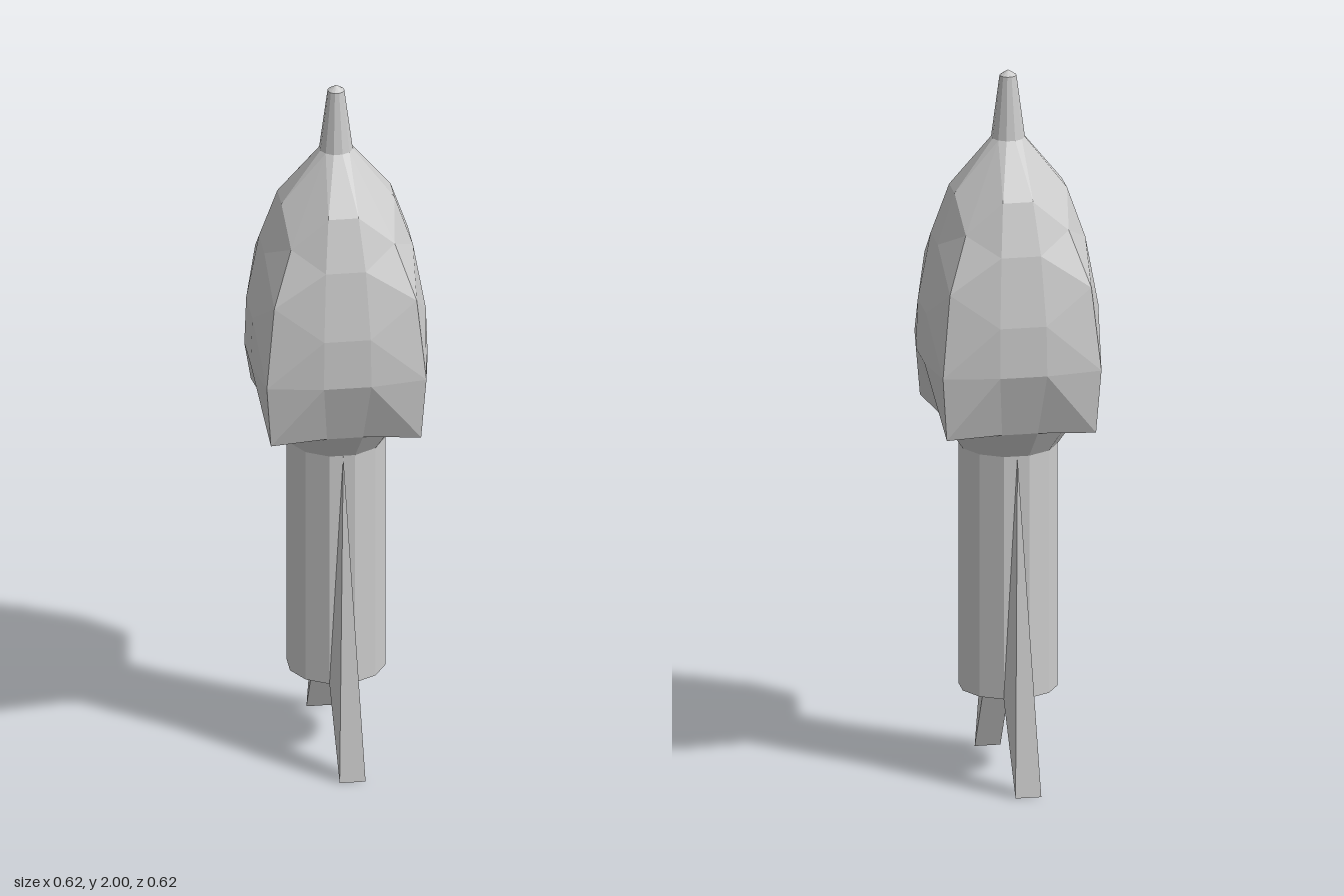
import * as THREE from 'three';

const SIDES = 12;
const material = new THREE.MeshStandardMaterial({ color: 0xcccccc, flatShading: true });

function addMesh(parent, name, geometry) {
  const mesh = new THREE.Mesh(geometry, material);
  mesh.name = name;
  parent.add(mesh);
  return mesh;
}

// Flat-shaded geometry from triangles of Vector3 corners
function fromTriangles(triangles) {
  const geometry = new THREE.BufferGeometry().setFromPoints(triangles.flat());
  geometry.computeVertexNormals();
  return geometry;
}

// Twelve-sided section: the four axis corners and the corners between them
// each have their own radius and height
function ring([axisR, axisY, sideR, sideY]) {
  return Array.from({ length: SIDES }, (_, k) => {
    const a = (k / SIDES) * Math.PI * 2;
    const onAxis = k % 3 === 0;
    const r = onAxis ? axisR : sideR;
    return new THREE.Vector3(Math.sin(a) * r, onAxis ? axisY : sideY, Math.cos(a) * r);
  });
}

function loft(sections) {
  const rings = sections.map(ring);
  const triangles = [];
  for (let i = 0; i < rings.length - 1; i++) {
    const low = rings[i], up = rings[i + 1];
    for (let k = 0; k < SIDES; k++) {
      const n = (k + 1) % SIDES;
      if (k % 3 === 0) triangles.push([low[k], low[n], up[k]], [low[n], up[n], up[k]]);
      else triangles.push([low[k], low[n], up[n]], [low[k], up[n], up[k]]);
    }
  }
  return fromTriangles(triangles);
}

// Wedge fin growing out of one panel of the shaft into a chisel edge on the floor
function finGeometry() {
  const v = (x, y, z) => new THREE.Vector3(x, y, z);
  const apex = v(0.095, 0.94, 0.092);
  const rootA = v(0.067, 0.25, 0.117), rootB = v(0.117, 0.25, 0.067);
  const tipA = v(0.15, 0, 0.18), tipB = v(0.2, 0, 0.13);
  return fromTriangles([
    [apex, tipA, tipB],
    [apex, rootA, tipA],
    [apex, tipB, rootB],
    [rootA, rootB, tipB], [rootA, tipB, tipA],
  ]);
}

export function createModel() {
  const model = new THREE.Group();
  model.name = 'model';

  // Shaft with closed bottom
  addMesh(model, 'shaft', new THREE.CylinderGeometry(0.135, 0.135, 0.69, SIDES)).position.y = 0.595;

  // Collar and faceted head with four pointed flaps
  addMesh(model, 'head', loft([
    [0.135, 0.94, 0.135, 0.94],
    [0.19, 1.02, 0.19, 1.02],
    [0.29, 1.02, 0.25, 1.2],
    [0.308, 1.2, 0.245, 1.34],
    [0.275, 1.43, 0.21, 1.53],
    [0.2, 1.58, 0.16, 1.67],
    [0.046, 1.81, 0.046, 1.81],
  ]));

  // Spire and its blunt cap
  addMesh(model, 'spire', new THREE.CylinderGeometry(0.023, 0.046, 0.175, SIDES, 1, true)).position.y = 1.8975;
  addMesh(model, 'spireCap', new THREE.ConeGeometry(0.023, 0.015, SIDES, 1, true)).position.y = 1.9925;

  // Two opposite fins
  for (const [i, name] of ['frontFin', 'backFin'].entries()) {
    addMesh(model, name, finGeometry()).rotation.y = i * Math.PI;
  }
  return model;
}
